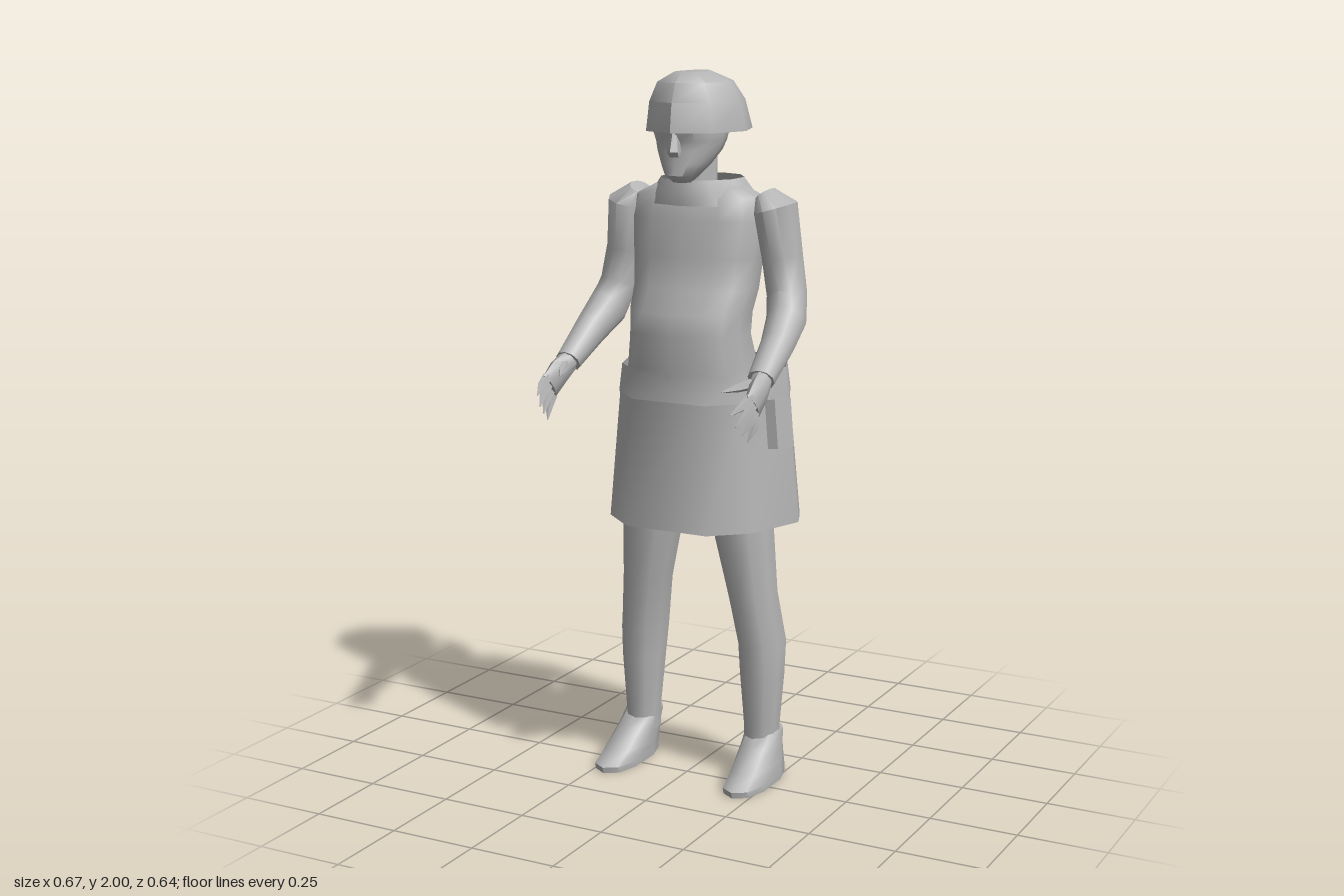
import * as THREE from 'three';
import { toCreasedNormals } from 'three/addons/utils/BufferGeometryUtils.js';

const grey = new THREE.MeshStandardMaterial({ color: 0xb4b4b4, side: THREE.DoubleSide });
grey.name = 'plain grey';

// Skin a stack of equal-sized rings of points, optionally closing the ends.
function skin(rings, capStart = true, capEnd = true, crease = 0.9) {
  const n = rings[0].length, pos = [], index = [];
  rings.flat().forEach(p => pos.push(p.x, p.y, p.z));
  for (let i = 0; i < rings.length - 1; i++)
    for (let j = 0; j < n; j++) {
      const a = i * n + j, b = i * n + (j + 1) % n;
      index.push(a, b, b + n, a, b + n, a + n);
    }
  const cap = (start, flip) => {
    const c = new THREE.Vector3(), k = pos.length / 3, ring = rings[start / n];
    ring.forEach(p => c.addScaledVector(p, 1 / n));
    pos.push(c.x, c.y, c.z);
    for (let j = 0; j < n; j++) {
      const a = start + j, b = start + (j + 1) % n;
      if (flip) index.push(b, a, k); else index.push(a, b, k);
    }
  };
  if (capStart) cap(0, true);
  if (capEnd) cap((rings.length - 1) * n, false);
  const g = new THREE.BufferGeometry();
  g.setAttribute('position', new THREE.Float32BufferAttribute(pos, 3));
  g.setIndex(index);
  return toCreasedNormals(g, crease);
}

// Horizontal rings from rows of [y, half width, front z, back z, centre x].
function level(rows, n, power = 1) {
  const soft = v => Math.sign(v) * Math.pow(Math.abs(v), power);
  return rows.map(([y, rx, zf, zb, cx = 0]) => Array.from({ length: n }, (_, j) => {
    const a = j / n * Math.PI * 2;
    return new THREE.Vector3(cx + rx * soft(Math.sin(a)), y,
      (zf + zb) / 2 + (zf - zb) / 2 * soft(Math.cos(a)));
  }));
}

// Rings square to a path, from rows of [x, y, z, radius across, radius along].
function limb(rows, n) {
  const P = rows.map(r => new THREE.Vector3(r[0], r[1], r[2]));
  return rows.map((r, i) => {
    const t = P[Math.min(i + 1, P.length - 1)].clone().sub(P[Math.max(i - 1, 0)]).normalize();
    const u = new THREE.Vector3(1, 0, 0).addScaledVector(t, -t.x).normalize();
    const v = u.clone().cross(t);
    return Array.from({ length: n }, (_, j) => {
      const a = j / n * Math.PI * 2;
      return P[i].clone().addScaledVector(u, r[3] * Math.sin(a)).addScaledVector(v, r[4] * Math.cos(a));
    });
  });
}

export function createModel() {
  const model = new THREE.Group();
  const add = (name, geometry, parent = model) => {
    const m = new THREE.Mesh(geometry, grey);
    m.name = name;
    parent.add(m);
    return m;
  };

  // Helmet, open below
  add('helmet', skin(level([
    [1.84, 0.142, 0.1, -0.25], [1.92, 0.13, 0.09, -0.215],
    [1.972, 0.103, 0.07, -0.168], [1.998, 0.05, 0.03, -0.1], [2, 0.02, -0.065, -0.105],
  ], 8), false, true));

  // Head and neck
  add('head', skin(level([
    [1.705, 0.025, 0.055, 0], [1.725, 0.045, 0.08, -0.03], [1.755, 0.066, 0.076, -0.07],
    [1.79, 0.086, 0.07, -0.105], [1.815, 0.094, 0.068, -0.12],
    [1.845, 0.1, 0.085, -0.135], [1.93, 0.085, 0.055, -0.15],
  ], 12, 0.9)));
  add('nose', skin(level([
    [1.775, 0.016, 0.085, 0.05], [1.79, 0.02, 0.1, 0.05], [1.84, 0.008, 0.085, 0.05],
  ], 6)));
  add('neck', skin(level([[1.62, 0.075, 0.01, -0.14], [1.7, 0.062, 0.02, -0.118], [1.8, 0.062, 0, -0.112]], 8)));

  // Flared collar
  add('collar', skin(level([[1.64, 0.165, 0.035, -0.245], [1.675, 0.14, 0.04, -0.235], [1.71, 0.115, 0.03, -0.215]],
    10), false, false));

  // Torso with rounded belly
  add('torso', skin(level([
    [1.1, 0.19, 0.105, -0.2], [1.19, 0.184, 0.112, -0.185], [1.29, 0.172, 0.108, -0.145],
    [1.35, 0.174, 0.104, -0.152], [1.41, 0.18, 0.06, -0.168], [1.5, 0.188, 0.045, -0.18],
    [1.6, 0.198, 0.027, -0.19], [1.66, 0.19, 0.01, -0.178], [1.69, 0.13, -0.01, -0.155],
  ], 14, 0.8)));

  // Skirt and waistband share one ten-sided outline, narrowing upwards
  const half = [[0.125, 0.128], [0.225, 0.04], [0.285, -0.13], [0.25, -0.215], [0.125, -0.32]];
  const outline = [...half, ...half.map(([x, z]) => [-x, z]).reverse()];
  const skirtRing = (y, sx, sz) => outline.map(([x, z]) =>
    new THREE.Vector3(x * sx, y, -0.095 + (z + 0.095) * sz));
  add('skirt', skin([skirtRing(0.75, 1, 1), skirtRing(1.12, 0.87, 0.92)], false, false));
  add('waistband', skin([skirtRing(1.11, 0.885, 0.935), skirtRing(1.19, 0.845, 0.915)], false, false));

  // Hip pouch on the left
  const pouch = add('pouch', new THREE.BoxGeometry(0.03, 0.135, 0.105));
  pouch.position.set(0.256, 1.045, -0.06);
  pouch.rotation.set(-0.12, 0, 0.14);

  for (const s of [1, -1]) {
    const side = s > 0 ? 'left' : 'right';
    const flip = rows => rows.map(([x, ...rest]) => [s * x, ...rest]);

    // Sleeve and forearm
    add(side + 'Arm', skin(limb(flip([
      [0.195, 1.672, -0.09, 0.025, 0.05], [0.225, 1.635, -0.09, 0.058, 0.085],
      [0.243, 1.5, -0.097, 0.055, 0.07], [0.262, 1.4, -0.088, 0.055, 0.06],
      [0.278, 1.335, -0.05, 0.054, 0.064], [0.29, 1.28, 0.03, 0.046, 0.05],
      [0.297, 1.205, 0.145, 0.038, 0.034],
    ]), 10)));

    // Hand with splayed fingers
    const hand = new THREE.Group();
    hand.name = side + 'Hand';
    model.add(hand);
    add('palm', skin(limb(flip([
      [0.297, 1.21, 0.135, 0.03, 0.03], [0.306, 1.18, 0.18, 0.024, 0.042], [0.31, 1.145, 0.225, 0.016, 0.046],
    ]), 8)), hand);
    const fingers = [
      [[0.311, 1.172, 0.235], [0.292, 1.14, 0.318]], [[0.312, 1.152, 0.228], [0.298, 1.105, 0.295]],
      [[0.313, 1.132, 0.218], [0.303, 1.08, 0.268]], [[0.313, 1.118, 0.205], [0.306, 1.057, 0.243]],
      [[0.29, 1.2, 0.175], [0.246, 1.19, 0.275]],
    ];
    fingers.forEach(([a, b], i) => {
      const mid = a.map((v, k) => (v + b[k]) / 2 + (k === 0 && i < 4 ? 0.004 : 0));
      add(i < 4 ? 'finger' : 'thumb', skin(limb(flip([
        [...a, 0.014, 0.016], [...mid, 0.011, 0.012], [...b, 0.002, 0.002],
      ]), 5)), hand);
    });

    // Leg
    add(side + 'Leg', skin(level([
      [0.08, 0.048, -0.04, -0.15, 0.192 * s], [0.16, 0.051, -0.033, -0.155, 0.193 * s],
      [0.3, 0.062, -0.02, -0.172, 0.192 * s], [0.4, 0.066, -0.01, -0.19, 0.189 * s],
      [0.55, 0.07, 0.008, -0.162, 0.168 * s], [0.75, 0.088, 0.03, -0.16, 0.141 * s],
      [1.0, 0.095, 0.045, -0.175, 0.11 * s],
    ], 10)));

    // Shoe: an upper that slopes down to the toe
    add(side + 'Shoe', skin(level([
      [0, 0.06, 0.125, -0.163, 0.207 * s], [0.018, 0.061, 0.13, -0.163, 0.207 * s],
      [0.05, 0.058, 0.07, -0.16, 0.204 * s], [0.1, 0.054, -0.01, -0.16, 0.199 * s],
      [0.135, 0.052, -0.055, -0.16, 0.196 * s],
    ], 10, 0.85)));
  }
  return model;
}
